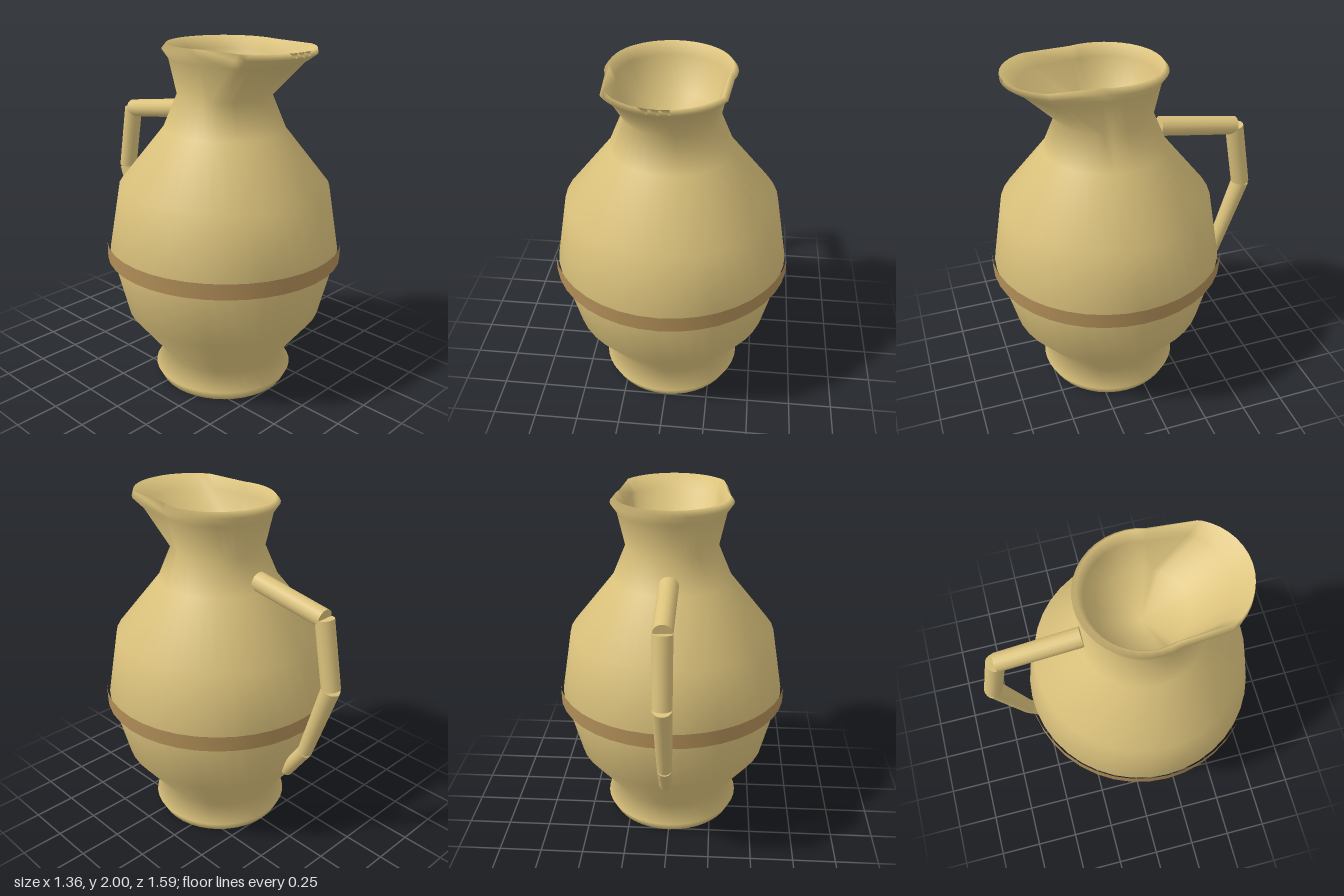
import * as THREE from 'three';
import { mergeVertices } from 'three/addons/utils/BufferGeometryUtils.js';

const CENTER_Z = 0.12;
const SEGMENTS = 40;

const clay = new THREE.MeshStandardMaterial({ color: 0xdbc27c });
clay.name = 'clay';
const bronze = new THREE.MeshStandardMaterial({ color: 0xb08d57 });
bronze.name = 'bronze';

// Turned vessel: outside from base to rim, then down into the mouth;
// the front of the neck is pulled forward with height to form the spout
function createVessel() {
  const profile = [
    [0, 0], [0.38, 0], [0.41, 0.06], [0.345, 0.16], [0.57, 0.45],
    [0.665, 0.83], [0.6, 1.21], [0.345, 1.53], [0.265, 1.72],
    [0.31, 1.92], [0.345, 1.97], [0.32, 2],
    [0.29, 1.93], [0.235, 1.73], [0, 1.62],
  ].map(([r, y]) => new THREE.Vector2(r, y));
  let geometry = new THREE.LatheGeometry(profile, SEGMENTS);
  const p = geometry.attributes.position;
  for (let i = 0; i < p.count; i++) {
    const x = p.getX(i), y = p.getY(i), z = p.getZ(i);
    if (y > 1.72 && z > 0.4 * Math.hypot(x, z)) p.setZ(i, z + 0.8 * (y - 1.72));
  }
  // Weld the seam so shading runs smoothly around the front
  geometry.deleteAttribute('uv');
  geometry.deleteAttribute('normal');
  geometry = mergeVertices(geometry);
  geometry.computeVertexNormals();
  const mesh = new THREE.Mesh(geometry, clay);
  mesh.name = 'vessel';
  mesh.position.z = CENTER_Z;
  return mesh;
}

// Open ring around the belly
function createBand() {
  const mesh = new THREE.Mesh(new THREE.CylinderGeometry(0.68, 0.68, 0.09, SEGMENTS, 1, true), bronze);
  mesh.name = 'bellyBand';
  mesh.position.set(0, 0.83, CENTER_Z);
  return mesh;
}

// Straight rod between two points
function rod(a, b, rA, rB) {
  const dir = b.clone().sub(a);
  const mesh = new THREE.Mesh(new THREE.CylinderGeometry(rB, rA, dir.length(), 16), clay);
  mesh.position.copy(a).add(b).multiplyScalar(0.5);
  mesh.quaternion.setFromUnitVectors(new THREE.Vector3(0, 1, 0), dir.normalize());
  return mesh;
}

// Handle of four rods down the back
function createHandle() {
  const group = new THREE.Group();
  group.name = 'handle';
  const points = [[1.59, -0.2], [1.52, -0.67], [1.135, -0.74], [0.67, -0.585], [0.48, -0.45]]
    .map(([y, z]) => new THREE.Vector3(0, y, z));
  const radii = [0.056, 0.053, 0.053, 0.042, 0.042];
  for (let i = 0; i < points.length - 1; i++) {
    const part = rod(points[i], points[i + 1], radii[i], radii[i + 1]);
    part.name = 'handleRod' + (i + 1);
    group.add(part);
  }
  return group;
}

export function createModel() {
  const model = new THREE.Group();
  model.name = 'pitcher';
  model.add(createVessel(), createBand(), createHandle());
  return model;
}
